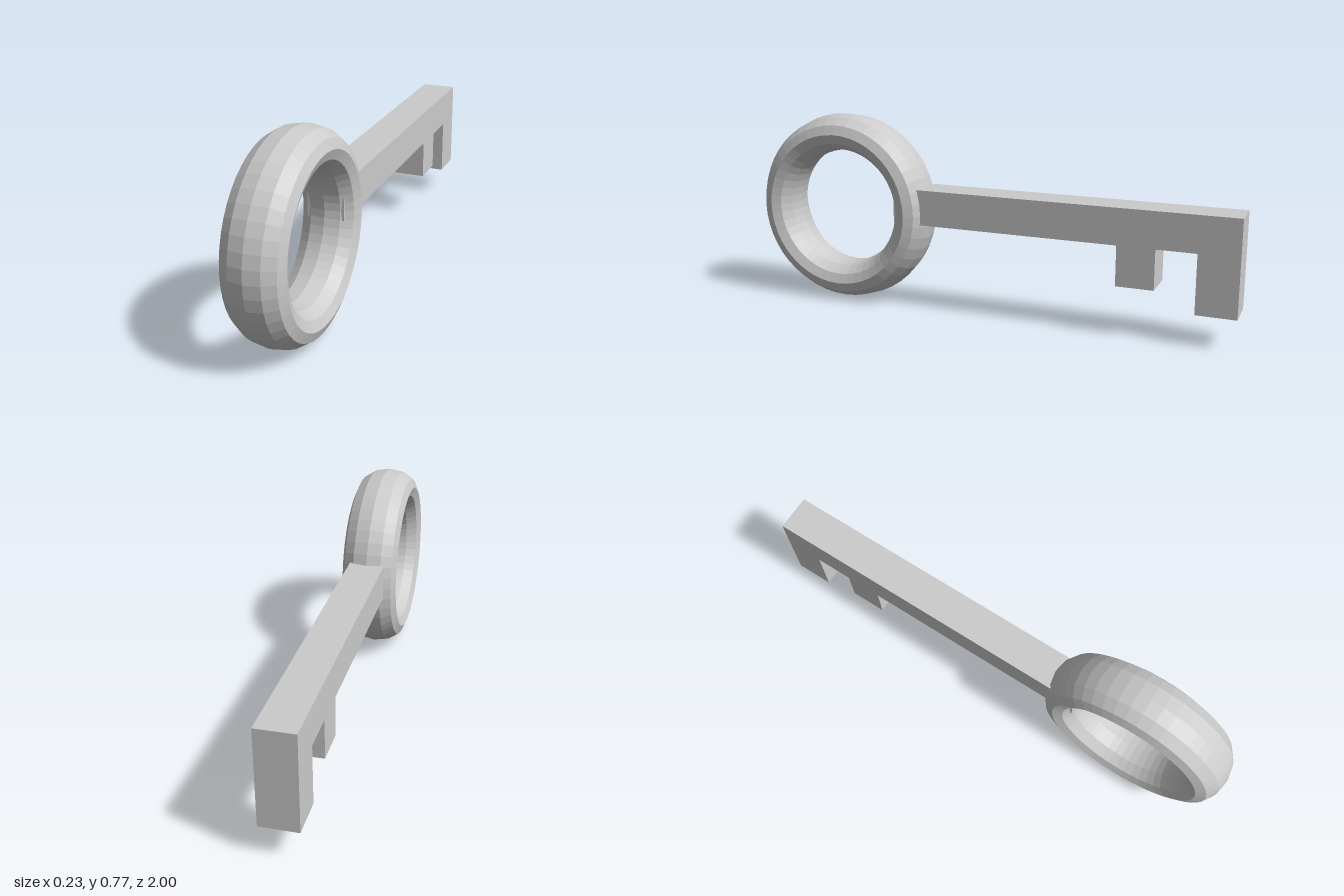
import * as THREE from 'three';

export function createModel() {
  const model = new THREE.Group();
  const material = new THREE.MeshStandardMaterial({ color: 0xcccccc, flatShading: true });

  const add = (name, geometry) => {
    const mesh = new THREE.Mesh(geometry, material);
    mesh.name = name;
    model.add(mesh);
  };

  // Ring handle: a torus with an oval section, wider than it is thick
  const ring = new THREE.TorusGeometry(0.31, 0.075, 12, 48);
  ring.scale(1, 1, 0.115 / 0.075);
  ring.rotateY(Math.PI / 2);
  ring.translate(0, 0.386, 0.615);
  add('ringHandle', ring);

  // Shaft with two teeth: side outline as (z, y), extruded across x
  const width = 0.144;
  const outline = new THREE.Shape([
    [0.368, 0.349], [0.368, 0.491], [-1, 0.491], [-1, 0.12],
    [-0.848, 0.12], [-0.848, 0.349], [-0.697, 0.349], [-0.697, 0.193],
    [-0.552, 0.193], [-0.552, 0.349],
  ].map(([z, y]) => new THREE.Vector2(z, y)));
  const shaft = new THREE.ExtrudeGeometry(outline, { depth: width, bevelEnabled: false });
  shaft.translate(0, 0, -width / 2);
  shaft.rotateY(-Math.PI / 2);
  add('toothedShaft', shaft);

  return model;
}
